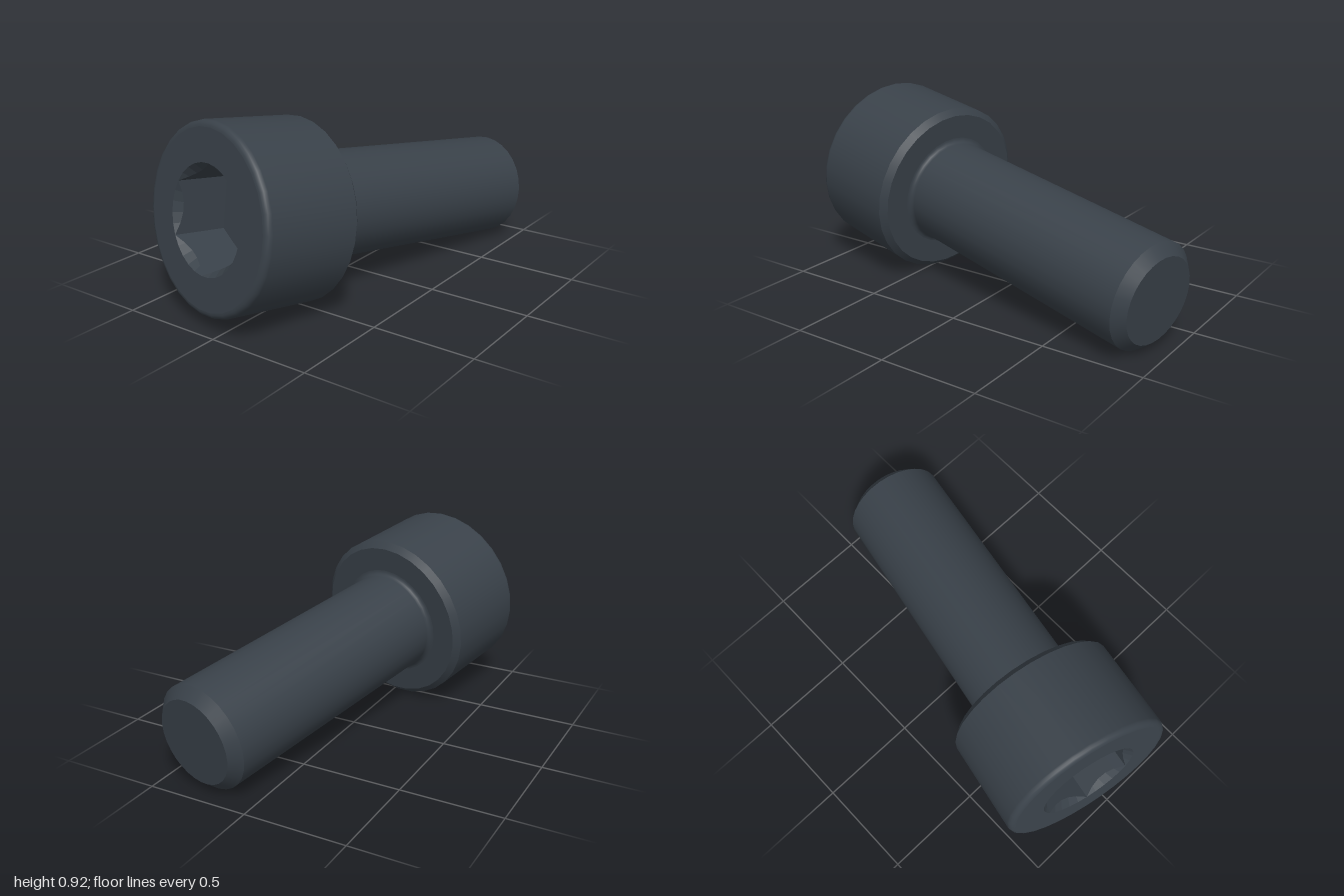
import * as THREE from 'three';

const SEG = 30;           // sides of every round part
const HEAD_R = 0.435, HEAD_H = 0.52, SHAFT_R = 0.26, LENGTH = 1.91;
const FLAT = 0.2175, CORNER = FLAT / Math.cos(Math.PI / 6), DEPTH = 0.265;

// Quarter-round points from angle a0 to a1 around (cx, cy)
function arc(cx, cy, r, a0, a1, n = 5) {
  return Array.from({ length: n + 1 }, (_, i) => {
    const a = a0 + (a1 - a0) * i / n;
    return [cx + r * Math.cos(a), cy + r * Math.sin(a)];
  });
}

// Turned surface about y; separate calls keep the edges between them sharp
function lathe(points) {
  return new THREE.LatheGeometry(points.map(p => new THREE.Vector2(p[0], p[1])), SEG);
}

// Hexagonal recess with a conical lead-in trimmed by its flats
function socketGeometry() {
  const geo = lathe([[0, DEPTH], [1, DEPTH], [1, 0.03], [CORNER, 0]]);
  const pos = geo.attributes.position;
  for (let i = 0; i < pos.count; i++) {
    const row = i % 4;
    if (row !== 1 && row !== 2) continue;
    const step = Math.floor(i / 4) % (SEG / 6);
    const r = FLAT / Math.cos(step * 2 * Math.PI / SEG - Math.PI / 6);
    const phi = Math.floor(i / 4) * 2 * Math.PI / SEG;
    const y = row === 1 ? DEPTH : (CORNER - r) * 1.1;
    pos.setXYZ(i, r * Math.sin(phi), y, r * Math.cos(phi));
  }
  const flat = geo.toNonIndexed();
  flat.computeVertexNormals();
  return flat;
}

export function createModel() {
  const steel = new THREE.MeshStandardMaterial({ color: 0x394149 });
  steel.name = 'dark steel';

  const bolt = new THREE.Group();
  bolt.name = 'socketHeadBolt';
  const add = (name, geo) => {
    const mesh = new THREE.Mesh(geo, steel);
    mesh.name = name;
    bolt.add(mesh);
  };

  const c = 0.03, tip = 0.05, f = 0.025;
  // Head, from the drive face towards the shaft
  add('hexSocket', socketGeometry());
  add('headFace', lathe([[CORNER, 0], [HEAD_R - c, 0]]));
  add('headSide', lathe([
    ...arc(HEAD_R - c, c, c, -Math.PI / 2, 0),
    [HEAD_R, HEAD_H - c]]));
  add('headChamfer', lathe([[HEAD_R, HEAD_H - c], [HEAD_R - c, HEAD_H]]));
  add('headUnderside', lathe([[HEAD_R - c, HEAD_H], [SHAFT_R + f, HEAD_H]]));
  // Shaft with a small fillet at the head and a chamfered tip
  add('shaft', lathe([
    ...arc(SHAFT_R + f, HEAD_H + f, f, -Math.PI / 2, -Math.PI),
    [SHAFT_R, LENGTH - tip]]));
  add('tipChamfer', lathe([[SHAFT_R, LENGTH - tip], [SHAFT_R - tip, LENGTH]]));
  add('tipFace', lathe([[SHAFT_R - tip, LENGTH], [0, LENGTH]]));

  // Lay the bolt down so the head rim and the tip rest on the ground
  const axis = new THREE.Vector3(0.97, -0.126, 0.2065).normalize();
  const up = new THREE.Vector3(0, 1, 0).addScaledVector(axis, -axis.y).normalize();
  const side = new THREE.Vector3().crossVectors(axis, up);
  bolt.quaternion.setFromRotationMatrix(new THREE.Matrix4().makeBasis(side, axis, up));
  bolt.position.set(-0.902, 0.494, -0.111);

  const model = new THREE.Group();
  model.name = 'bolt';
  model.add(bolt);
  return model;
}
